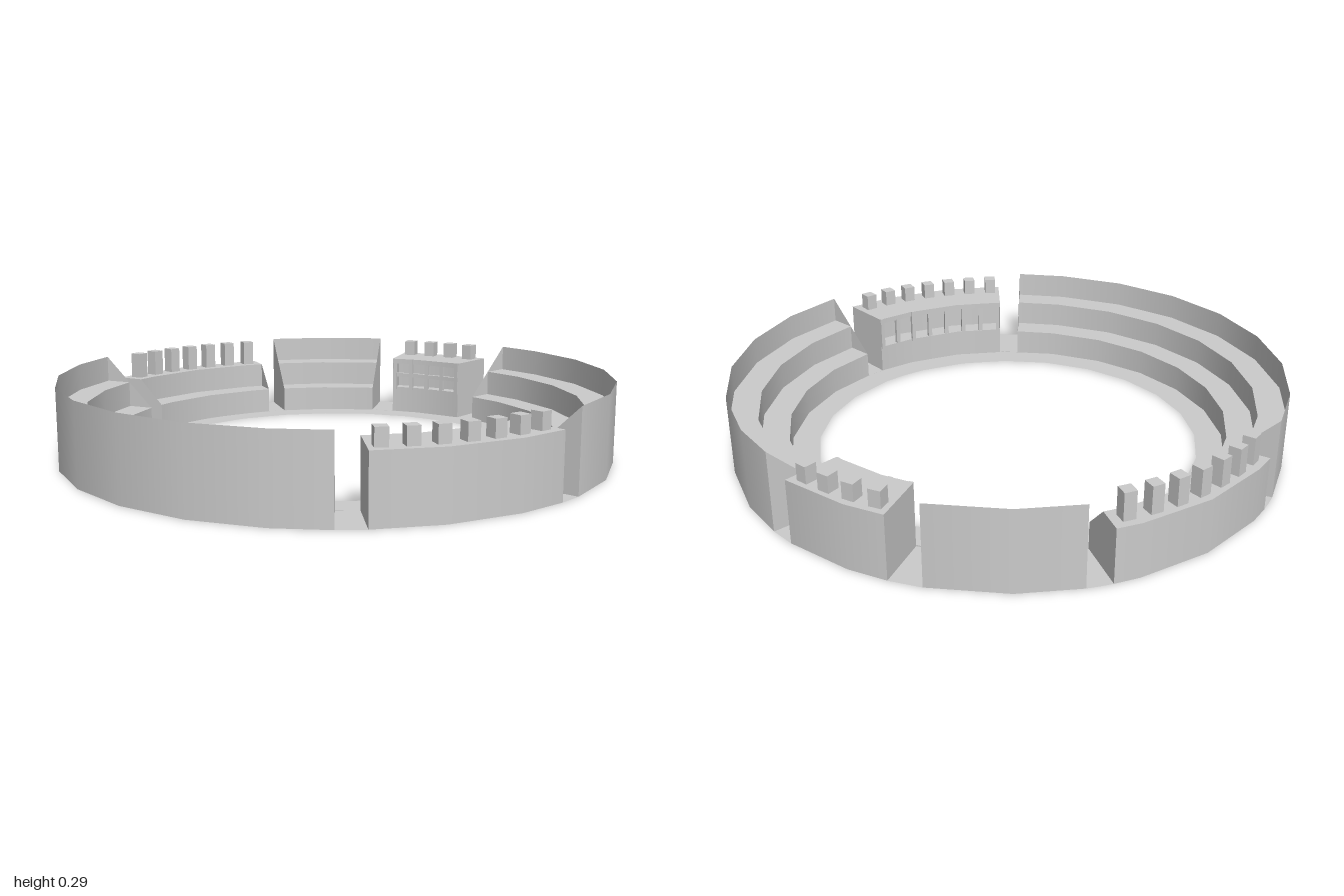
import * as THREE from 'three';

const material = new THREE.MeshStandardMaterial({ color: 0xcccccc, side: THREE.DoubleSide });
const STEP = 0.097, TIER2 = 0.193, TOP = 0.29, ROOF = 0.23;
const rad = THREE.MathUtils.degToRad;

function add(parent, name, geometry) {
  const mesh = new THREE.Mesh(geometry, material);
  mesh.name = name;
  parent.add(mesh);
  return mesh;
}

// Sweeps a [radius, height] profile around y between two angles (degrees from +x towards +z).
// Smooth around the ring, sharp at the profile corners.
function sweep(profile, from, to, offset = 7.5) {
  const angles = [from];
  for (let a = Math.floor(from / 15) * 15 - 15 + offset; a < to - 1; a += 15) if (a > from + 1) angles.push(a);
  angles.push(to);
  const position = [], normal = [], index = [];
  for (let s = 0; s < profile.length - 1; s++) {
    const [p, q] = [profile[s], profile[s + 1]];
    const n = new THREE.Vector2(q[1] - p[1], p[0] - q[0]).normalize();
    angles.forEach((deg, i) => {
      const c = Math.cos(rad(deg)), k = Math.sin(rad(deg)), base = position.length / 3;
      for (const [r, y] of [p, q]) {
        position.push(r * c, y, r * k);
        normal.push(n.x * c, n.y, n.x * k);
      }
      if (i < angles.length - 1) index.push(base, base + 1, base + 3, base, base + 3, base + 2);
    });
  }
  const g = new THREE.BufferGeometry();
  g.setAttribute('position', new THREE.Float32BufferAttribute(position, 3));
  g.setAttribute('normal', new THREE.Float32BufferAttribute(normal, 3));
  g.setIndex(index);
  return g;
}

// Flat radial walls closing both ends of a section
function endPanels(parent, outline, from, to) {
  const shape = new THREE.Shape(outline.map(([r, y]) => new THREE.Vector2(r, y)));
  for (const a of [from, to]) add(parent, 'endPanel', new THREE.ShapeGeometry(shape)).rotation.y = -rad(a);
}

// Upright box with its depth pointing along the radius
function radialBox(parent, name, angle, r, y0, y1, depth, width) {
  const m = add(parent, name, new THREE.BoxGeometry(depth, y1 - y0, width));
  m.position.set(r * Math.cos(rad(angle)), (y0 + y1) / 2, r * Math.sin(rad(angle)));
  m.rotation.y = -rad(angle);
}

function section(root, name) {
  const g = new THREE.Group();
  g.name = name;
  root.add(g);
  return g;
}

const tiers = [[1, TIER2], [0.9, TIER2], [0.9, STEP], [0.8, STEP], [0.8, 0]];

// Stepped stand, hollow underneath, with a tall thin outer wall
function stand(root, name, from, to) {
  const g = section(root, name);
  add(g, 'outerWall', sweep([[1, 0], [1, TOP]], from, to));
  add(g, 'tiers', sweep(tiers, from, to));
  endPanels(g, [[0.8, 0], [1, 0], [1, TOP], [0.8, STEP]], from, to);
}

function posts(g, first, last, count, r, y0) {
  for (let i = 0; i < count; i++)
    radialBox(g, 'roofPost', first + (last - first) * i / (count - 1), r, y0, TOP, 0.045, 0.043);
}

// Roofed block with a row or rows of windows facing the middle
function windowBlock(root, name, from, to, windows, rows) {
  const g = section(root, name);
  add(g, 'outerShell', sweep([[1, 0], [1, ROOF], [0.8, ROOF]], from, to));
  add(g, 'innerFloors', sweep([[0.9, ROOF], [0.9, STEP], [0.8, STEP], [0.8, 0]], from, to));
  endPanels(g, [[0.8, 0], [1, 0], [1, ROOF], [0.8, ROOF]], from, to);
  const rail = (y0, y1) => add(g, 'windowRail',
    sweep([[0.815, y0], [0.815, y1], [0.8, y1], [0.8, y0], [0.815, y0]], from, to));
  rail(ROOF - 0.02, ROOF);
  rail(STEP, STEP + 0.01);
  if (rows === 2) rail(0.152, 0.168);
  for (let i = 0; i <= windows; i++)
    radialBox(g, 'mullion', from + 0.7 + (to - from - 1.4) * i / windows, 0.803, STEP, ROOF, 0.014, 0.016);
  return g;
}

export function createModel() {
  const root = new THREE.Group();
  root.name = 'arena';

  // Inner walkway and the floors of the gaps between sections
  add(root, 'walkway', sweep([[0.8, 0], [0.7, 0]], 0, 360));
  for (const [a, b] of [[36, 41.5], [155, 160], [200, 205], [233, 239.5], [261.5, 267], [351.7, 357]])
    add(root, 'gapFloor', sweep([[1, 0], [0.8, 0]], a, b));

  // Stepped stands
  stand(root, 'frontStand', 41.5, 155);
  stand(root, 'backRightStand', 205, 233);
  stand(root, 'backLeftStand', 267, 351.7);

  // Windowed blocks
  posts(windowBlock(root, 'leftBlock', -3, 36, 7, 1), 0, 33.6, 7, 0.945, ROOF);
  posts(windowBlock(root, 'backBlock', 239.5, 261.5, 4, 2), 242, 258.6, 4, 0.953, ROOF);

  // Open terrace with posts along its top step
  const terrace = section(root, 'rightTerrace');
  add(terrace, 'outerWall', sweep([[1, 0], [1, TIER2]], 160, 200, 0));
  add(terrace, 'tiers', sweep(tiers, 160, 200, 0));
  endPanels(terrace, [[0.8, 0], [1, 0], [1, TIER2], [0.9, TIER2], [0.8, STEP]], 160, 200);
  posts(terrace, 163.2, 196.8, 7, 0.95, TIER2);

  return root;
}
